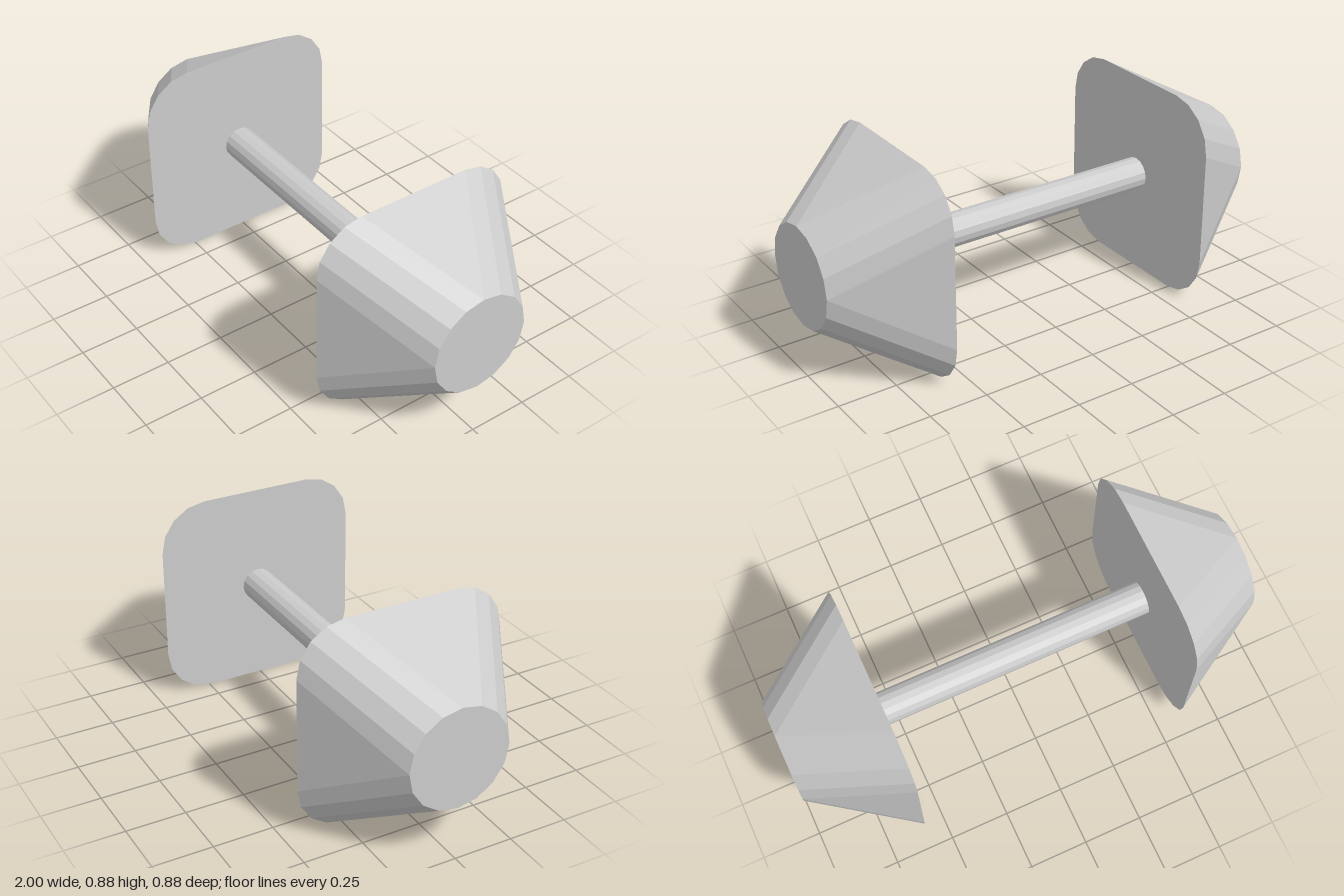
import * as THREE from 'three';

const CENTRE_Y = 0.44;
const INNER_X = 0.59, OUTER_X = 1;
const HALF = 0.44, CORNER = 0.2, TIP_RADIUS = 0.213;
const ARC_STEPS = 4;

// Weight lofted from a rounded square (inner face) to a 16-sided disc (outer face)
function weightGeometry() {
  const square = [], disc = [];
  for (let corner = 0; corner < 4; corner++) {
    const mid = (corner + 0.5) * Math.PI / 2;
    const offset = (HALF - CORNER) * Math.SQRT2;
    for (let i = 0; i <= ARC_STEPS; i++) {
      const a = (corner + i / ARC_STEPS) * Math.PI / 2;
      const c = Math.cos(a), s = Math.sin(a);
      square.push([INNER_X, Math.cos(mid) * offset + c * CORNER, Math.sin(mid) * offset + s * CORNER]);
      disc.push([OUTER_X, c * TIP_RADIUS, s * TIP_RADIUS]);
    }
  }
  const positions = [];
  const tri = (a, b, c) => positions.push(...a, ...b, ...c);
  const n = square.length;
  for (let i = 0; i < n; i++) {
    const j = (i + 1) % n;
    const flatSide = i % (ARC_STEPS + 1) === ARC_STEPS;
    tri(square[i], square[j], disc[i]);
    if (!flatSide) {
      tri(square[j], disc[j], disc[i]);
      tri([OUTER_X, 0, 0], disc[i], disc[j]);
    }
    tri([INNER_X, 0, 0], square[j], square[i]);
  }
  const geometry = new THREE.BufferGeometry();
  geometry.setAttribute('position', new THREE.Float32BufferAttribute(positions, 3));
  geometry.computeVertexNormals();
  return geometry;
}

export function createModel() {
  const model = new THREE.Group();
  model.name = 'dumbbell';
  const material = new THREE.MeshStandardMaterial({ color: 0xcccccc, flatShading: true });

  // Handle bar between the weights
  const bar = new THREE.Mesh(new THREE.CylinderGeometry(0.07, 0.07, INNER_X * 2, 16), material);
  bar.name = 'handleBar';
  bar.rotation.z = Math.PI / 2;
  bar.position.y = CENTRE_Y;
  model.add(bar);

  // Matching weights, the right one turned half round
  const geometry = weightGeometry();
  for (const [name, turn] of [['leftWeight', 0], ['rightWeight', Math.PI]]) {
    const weight = new THREE.Mesh(geometry, material);
    weight.name = name;
    weight.rotation.y = turn;
    weight.position.y = CENTRE_Y;
    model.add(weight);
  }
  return model;
}
